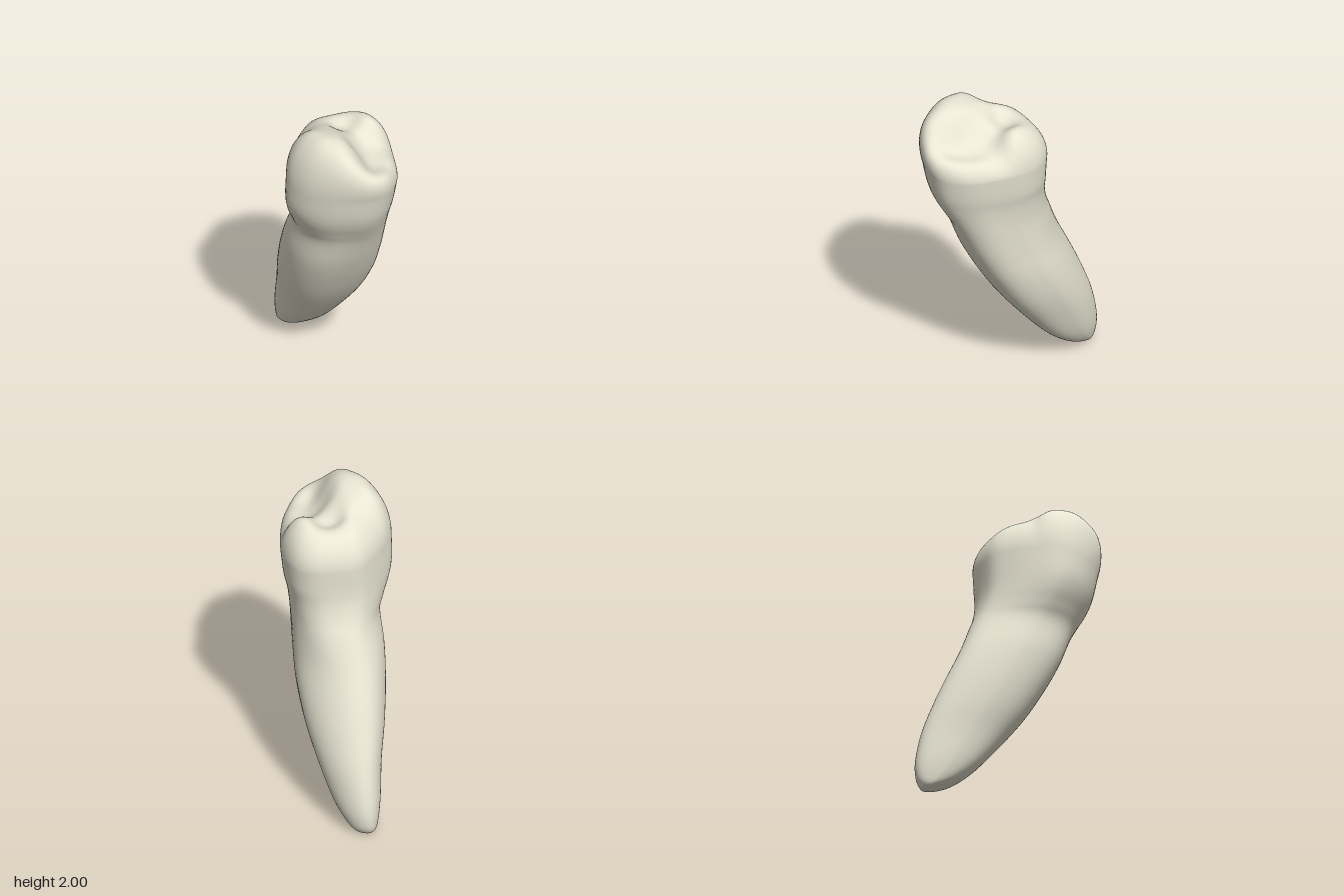
import * as THREE from 'three';
import { mergeVertices } from 'three/addons/utils/BufferGeometryUtils.js';

const SEG = 80, ROWS = 64, TOP_ROWS = 40, RIM = 1.65;

// Horizontal sections from root tip to crown rim: y, xMin, xMax, zMin, zMax, crown outline share
const sections = [
  [0, -0.08, -0.07, -0.565, -0.55, 0],
  [0.02, -0.125, 0, -0.6, -0.5, 0],
  [0.08, -0.152, 0.06, -0.624, -0.375, 0],
  [0.2, -0.176, 0.125, -0.622, -0.23, 0],
  [0.4, -0.2, 0.195, -0.575, -0.055, 0],
  [0.6, -0.238, 0.25, -0.5, 0.1, 0],
  [0.8, -0.262, 0.28, -0.412, 0.225, 0],
  [1.0, -0.27, 0.287, -0.315, 0.332, 0.12],
  [1.2, -0.257, 0.295, -0.225, 0.424, 0.45],
  [1.3, -0.29, 0.302, -0.18, 0.478, 0.7],
  [1.4, -0.33, 0.313, -0.153, 0.534, 0.9],
  [1.5, -0.35, 0.332, -0.146, 0.575, 1],
  [RIM, -0.35, 0.347, -0.15, 0.612, 1],
];

// Crown outline from above (x, z)
const outline = [
  [0.35, 0.1], [0.33, 0.3], [0.28, 0.47], [0.18, 0.595], [0.08, 0.625], [-0.05, 0.6],
  [-0.19, 0.53], [-0.3, 0.41], [-0.35, 0.27], [-0.335, 0.17], [-0.265, 0.045], [-0.19, -0.05],
  [-0.1, -0.13], [0, -0.153], [0.2, -0.14], [0.3, -0.06],
];

// Chewing surface heights (x, z, y), before rounding off towards the rim
const relief = [
  [-0.1, 0.4, 2.07], [-0.2, 0.27, 2.06], [-0.1, 0.2, 1.98], [-0.22, 0.4, 2.11],    // main cusp
  [-0.05, 0.3, 2.01], [-0.12, 0.53, 2.14], [0, 0.42, 2.02], [0, 0.54, 2.08], [0.02, 0.2, 1.92],
  [-0.1, 0.03, 1.95], [0.03, -0.03, 1.95], [0.13, -0.02, 1.95], [0.22, 0, 1.97],  // back ridge
  [0.22, 0.12, 2.0], [0.28, 0.06, 2.0],                                          // small cusp
  [0.08, 0.07, 1.82], [0.12, 0.15, 1.86], [0.18, 0.25, 1.8],                     // pit and groove
  [0.07, 0.33, 1.86], [0.13, 0.34, 1.77], [0.11, 0.44, 1.76], [0.08, 0.52, 1.8],
  [0.08, 0.61, 2.1], [0.19, 0.54, 1.98], [0.28, 0.42, 1.89], [0.3, 0.28, 1.83], [0.2, 0.42, 1.8], // lip
];

function reliefHeight(x, z) {
  let sum = 0, weight = 0;
  for (const [px, pz, h] of relief) {
    const w = Math.exp(-((x - px) ** 2 + (z - pz) ** 2) / (2 * 0.062 ** 2)) + 1e-9;
    sum += w * h;
    weight += w;
  }
  return sum / weight;
}

function toothGeometry() {
  // Crown outline scaled to a unit box
  const unit = new THREE.CatmullRomCurve3(
    outline.map(([x, z]) => new THREE.Vector3(x / 0.35, 0, (z - 0.236) / 0.389)), true
  ).getSpacedPoints(SEG).slice(0, SEG);

  // Root outline in the same box: square-shouldered front, narrower back leaning to its right
  const rootUnit = unit.map((p) => {
    const n = p.z > 0 ? 2.8 : 2;
    const s = (Math.abs(p.x) ** n + Math.abs(p.z) ** n) ** (-1 / n);
    const u = p.x * s, v = p.z * s;
    const lean = v > 0 ? 0.08 : -0.2;
    return new THREE.Vector3(u * (1 - 0.15 * Math.max(0, -v)) + lean * v * v, 0, v);
  });

  const spline = (pick) => new THREE.CatmullRomCurve3(
    sections.map((s) => new THREE.Vector3(...pick(s))), false, 'catmullrom', 0.5);
  const xs = spline((s) => [s[1], s[0], s[2]]);
  const zs = spline((s) => [s[3], s[0], s[4]]);
  const blend = spline((s) => [s[5], s[0], 0]);
  const positions = [];

  // Root and crown walls
  for (let i = 0; i <= ROWS; i++) {
    const t = i / ROWS;
    const bx = xs.getPoint(t), bz = zs.getPoint(t);
    const k = THREE.MathUtils.clamp(blend.getPoint(t).x, 0, 1);
    unit.forEach((crown, j) => {
      const p = rootUnit[j].clone().lerp(crown, k);
      positions.push(
        (bx.x + bx.z) / 2 + p.x * (bx.z - bx.x) / 2,
        Math.max(0, bx.y),
        (bz.x + bz.z) / 2 + p.z * (bz.z - bz.x) / 2);
    });
  }

  // Chewing surface: rings closing over the rim, leaning out at the front lip
  const [, x0, x1, z0, z1] = sections[sections.length - 1];
  let peak = RIM;
  const top = [];
  for (let i = 1; i <= TOP_ROWS; i++) {
    const r = i === TOP_ROWS ? 0 : Math.cos((i / TOP_ROWS) * Math.PI / 2);
    const rise = Math.sqrt(1 - r ** 2.5);
    for (const p of unit) {
      const x = (x0 + x1) / 2 + p.x * r * (x1 - x0) / 2;
      const z = (z0 + z1) / 2 + p.z * r * (z1 - z0) / 2;
      const h = (reliefHeight(x, z) - RIM) * rise;
      peak = Math.max(peak, RIM + h);
      top.push([x, h, z + 0.33 * h * Math.max(0, p.z * r) ** 2]);
    }
  }
  const fit = (2 - RIM) / (peak - RIM);
  for (const [x, h, z] of top) positions.push(x, RIM + h * fit, z);

  const index = [];
  for (let i = 0; i < ROWS + TOP_ROWS; i++) {
    for (let j = 0; j < SEG; j++) {
      const a = i * SEG + j, b = i * SEG + (j + 1) % SEG;
      index.push(a, a + SEG, b, b, a + SEG, b + SEG);
    }
  }
  // Close the root tip
  for (let j = 1; j < SEG - 1; j++) index.push(0, j, j + 1);

  let geometry = new THREE.BufferGeometry();
  geometry.setAttribute('position', new THREE.Float32BufferAttribute(positions, 3));
  geometry.setIndex(index);
  geometry = mergeVertices(geometry, 1e-5);
  geometry.computeVertexNormals();
  return geometry;
}

export function createModel() {
  const group = new THREE.Group();
  group.name = 'tooth';
  const mesh = new THREE.Mesh(toothGeometry(), new THREE.MeshStandardMaterial({ color: 0xe8e5d3 }));
  mesh.name = 'crownAndRoot';
  group.add(mesh);
  return group;
}
